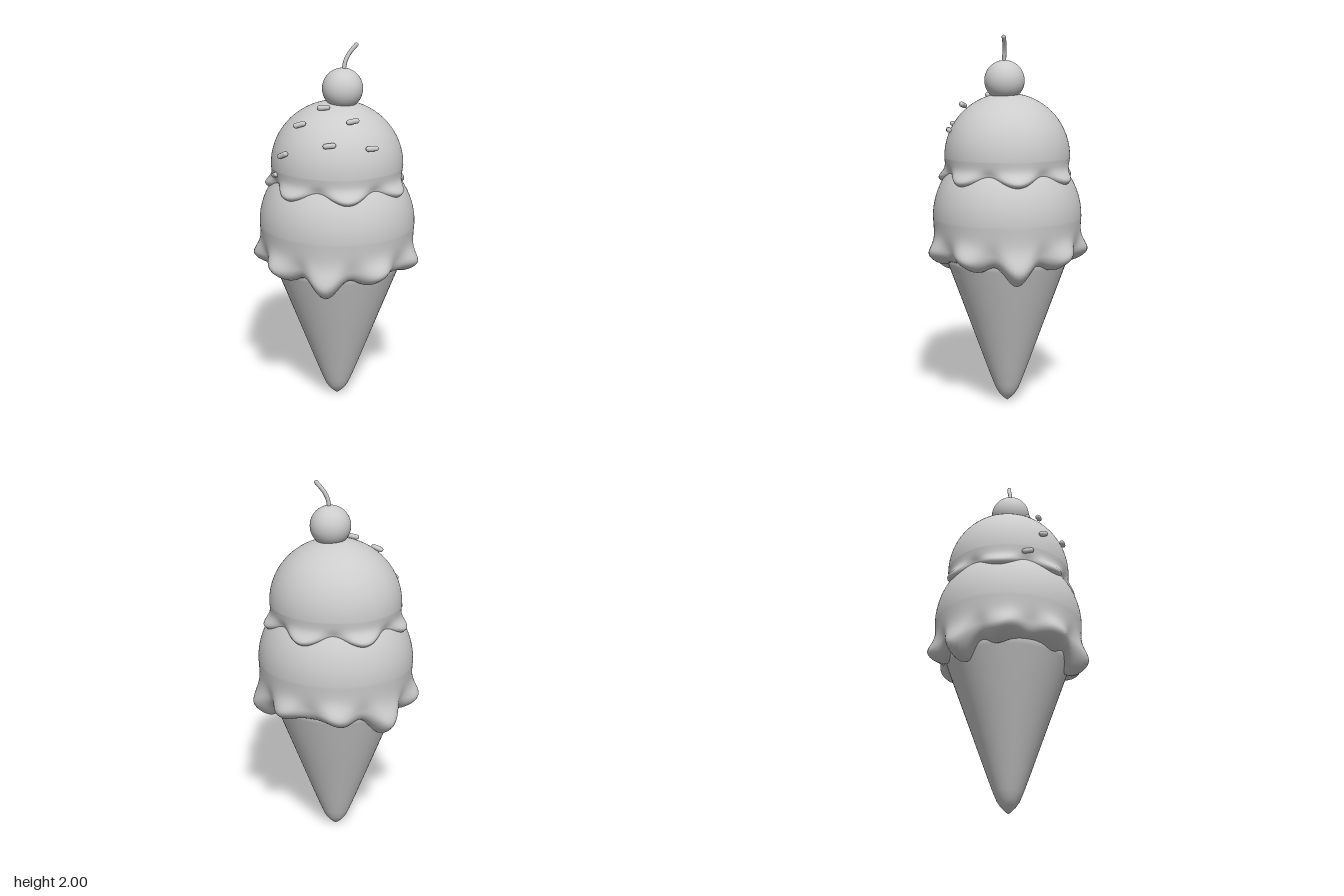
import * as THREE from 'three';

const plainGrey = new THREE.MeshStandardMaterial({ color: 0xcccccc });
plainGrey.name = 'plainGrey';

function addPart(parent, name, geometry) {
  const mesh = new THREE.Mesh(geometry, plainGrey);
  mesh.name = name;
  parent.add(mesh);
  return mesh;
}

// Dome of ice cream whose lower skirt swells into lobes and ends in a wavy hem.
function scoopGeometry({ radius, height, centerY, lobes, phase, bulge, lip, hem }) {
  const around = 126, domeRows = 18, skirtRows = 28;
  const positions = [], index = [];
  const rows = domeRows + skirtRows + 3;
  for (let i = 0; i < rows; i++) {
    for (let j = 0; j < around; j++) {
      const angle = (j / around) * Math.PI * 2;
      const lobe = 0.5 + 0.5 * Math.cos(lobes * (angle - phase));
      const hemY = hem(angle, lobe);
      let r, y;
      if (i < domeRows) {
        const a = (Math.max(i, 0.01) / domeRows) * Math.PI / 2;
        r = radius * Math.sin(a);
        y = centerY + height * Math.cos(a);
      } else if (i <= domeRows + skirtRows) {
        // Rows crowd towards the rounded lip
        const t = (i - domeRows) / skirtRows;
        const s = 1 - (1 - t) ** 1.5;
        const curl = Math.max(0, (s - 0.7) / 0.3);
        r = radius * (1 - 0.04 * s)
          + bulge * (lobe - 0.15) * Math.exp(-(((s - 0.76) / 0.27) ** 2))
          - lip * (1 - Math.sqrt(Math.max(0, 1 - curl * curl)));
        y = centerY + (hemY - centerY) * s;
      } else {
        // Underside tucks in and closes
        const k = i - domeRows - skirtRows;
        r = k === 1 ? radius * 0.7 : 0.002;
        y = hemY + 0.02 * k;
      }
      positions.push(r * Math.sin(angle), y, r * Math.cos(angle));
      if (i > 0) {
        const next = (j + 1) % around;
        const a = (i - 1) * around + j, b = (i - 1) * around + next;
        const c = i * around + j, d = i * around + next;
        index.push(a, c, b, b, c, d);
      }
    }
  }
  const geometry = new THREE.BufferGeometry();
  geometry.setAttribute('position', new THREE.Float32BufferAttribute(positions, 3));
  geometry.setIndex(index);
  geometry.computeVertexNormals();
  return geometry;
}

export function createModel() {
  const model = new THREE.Group();
  model.name = 'iceCreamCone';

  // Cone and scoops are slightly narrower front to back
  const body = new THREE.Group();
  body.name = 'coneAndScoops';
  body.scale.z = 0.95;
  body.position.z = -0.005;
  model.add(body);

  // Cone with a rounded tip
  const profile = [
    [0.001, 0], [0.015, 0.01], [0.042, 0.036], [0.062, 0.065], [0.08, 0.105],
    [0.117, 0.2], [0.23, 0.5], [0.34, 0.79], [0.355, 0.85], [0.001, 0.86],
  ].map(([x, y]) => new THREE.Vector2(x, y));
  addPart(body, 'cone', new THREE.LatheGeometry(profile, 64));

  // Lower scoop: nine lobes, every third one drips further down
  addPart(body, 'lowerScoop', scoopGeometry({
    radius: 0.42, height: 0.4, centerY: 1.04, lobes: 9, phase: 0, bulge: 0.06, lip: 0.07,
    hem: (angle, lobe) => 0.815 - lobe * (0.045 + 0.05 * Math.cos(3 * angle)),
  }));

  // Upper scoop: seven even lobes
  addPart(body, 'upperScoop', scoopGeometry({
    radius: 0.353, height: 0.34, centerY: 1.36, lobes: 7, phase: 0.31, bulge: 0.055, lip: 0.04,
    hem: (angle, lobe) => 1.255 - 0.045 * lobe,
  }));

  // Cherry and its bent stem
  addPart(model, 'cherry', new THREE.SphereGeometry(0.107, 40, 28)).position.set(0.03, 1.765, 0);
  const stemPath = new THREE.CatmullRomCurve3([
    new THREE.Vector3(0.034, 1.85, 0),
    new THREE.Vector3(0.045, 1.91, -0.005),
    new THREE.Vector3(0.065, 1.95, -0.014),
    new THREE.Vector3(0.098, 1.99, -0.022),
  ]);
  addPart(model, 'cherryStem', new THREE.TubeGeometry(stemPath, 16, 0.011, 10));
  addPart(model, 'stemTip', new THREE.SphereGeometry(0.011, 10, 8)).position.copy(stemPath.getPoint(1));

  // Sprinkles: x, y, z, turn, tilt
  const sprinkle = new THREE.CapsuleGeometry(0.014, 0.04, 4, 10).rotateZ(Math.PI / 2);
  [
    [-0.16, 1.61, 0.2, 0, 0.3],
    [0.115, 1.637, 0.203, 0, 0.25],
    [0.012, 1.53, 0.302, 0, 0.15],
    [0.22, 1.51, 0.24, 0.5, 0],
    [-0.242, 1.457, 0.24, -0.45, 0.45],
    [-0.05, 1.685, 0.12, 0, 0.1],
    [-0.3, 1.33, 0.165, -1.05, 0.3],
  ].forEach(([x, y, z, turn, tilt], i) => {
    const mesh = addPart(model, `sprinkle${i + 1}`, sprinkle);
    mesh.position.set(x, y, z);
    mesh.rotation.set(0, turn, tilt);
  });

  return model;
}
